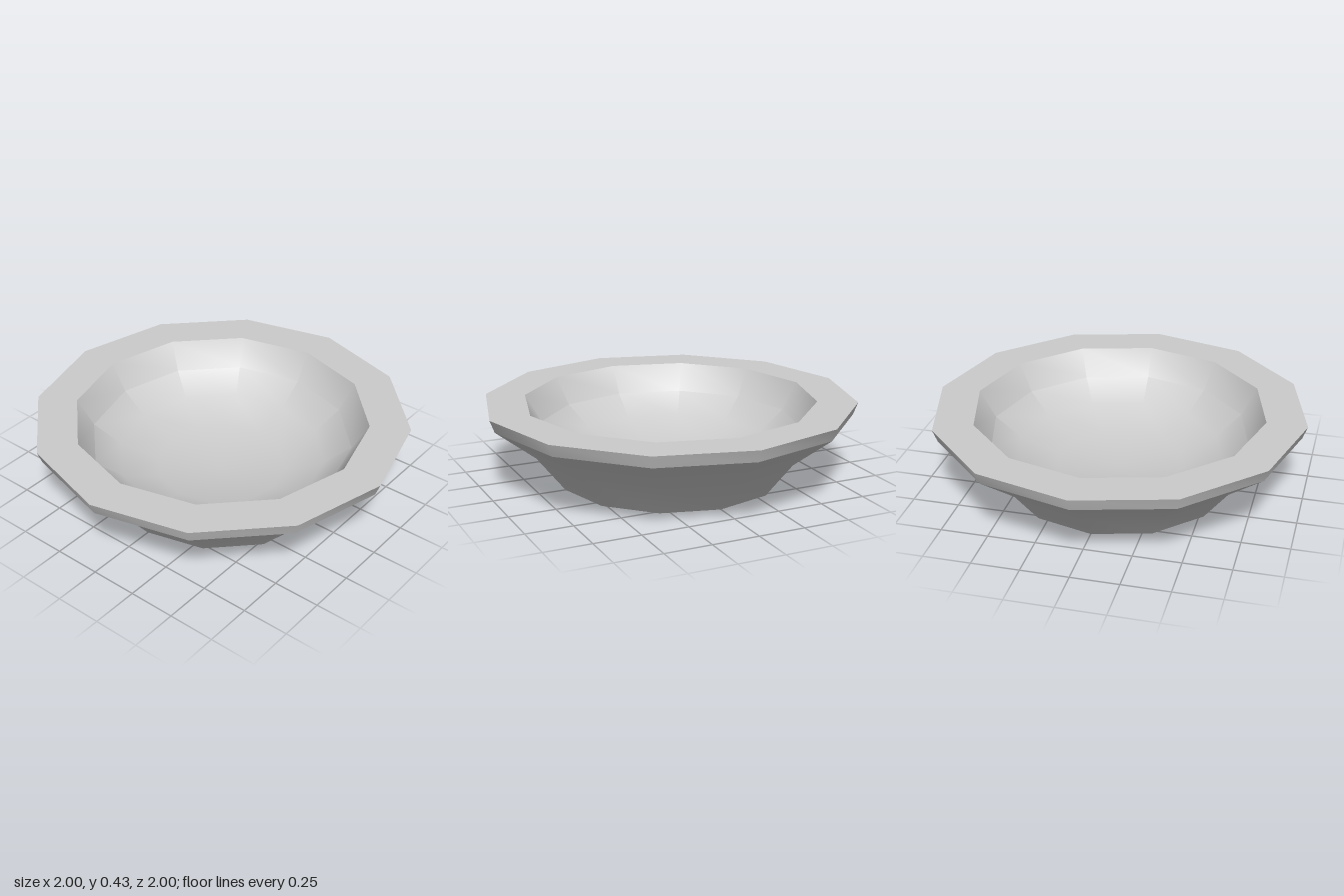
import * as THREE from 'three';
import { toCreasedNormals } from 'three/addons/utils/BufferGeometryUtils.js';

const SIDES = 12;

// Turned surface: soft around the sides, sharp at rim, lip and foot
function turned(name, profile, material) {
  const points = profile.map(([r, y]) => new THREE.Vector2(r, y));
  const geometry = toCreasedNormals(new THREE.LatheGeometry(points, SIDES), THREE.MathUtils.degToRad(30.5));
  const mesh = new THREE.Mesh(geometry, material);
  mesh.name = name;
  return mesh;
}

export function createModel() {
  const group = new THREE.Group();
  group.name = 'bowl';
  const material = new THREE.MeshStandardMaterial({ color: 0xcccccc });

  // Flat foot, flared wall, narrow lip band and wide flat rim
  group.add(turned('outerBody', [
    [0, 0], [0.605, 0], [0.76, 0.195], [0.975, 0.362], [1, 0.428], [0.785, 0.428],
  ], material));

  // Rounded hollow, from the rim down to the centre
  group.add(turned('hollow', [
    [0.785, 0.428], [0.7, 0.28], [0.56, 0.17], [0.35, 0.1], [0, 0.07],
  ], material));

  return group;
}
